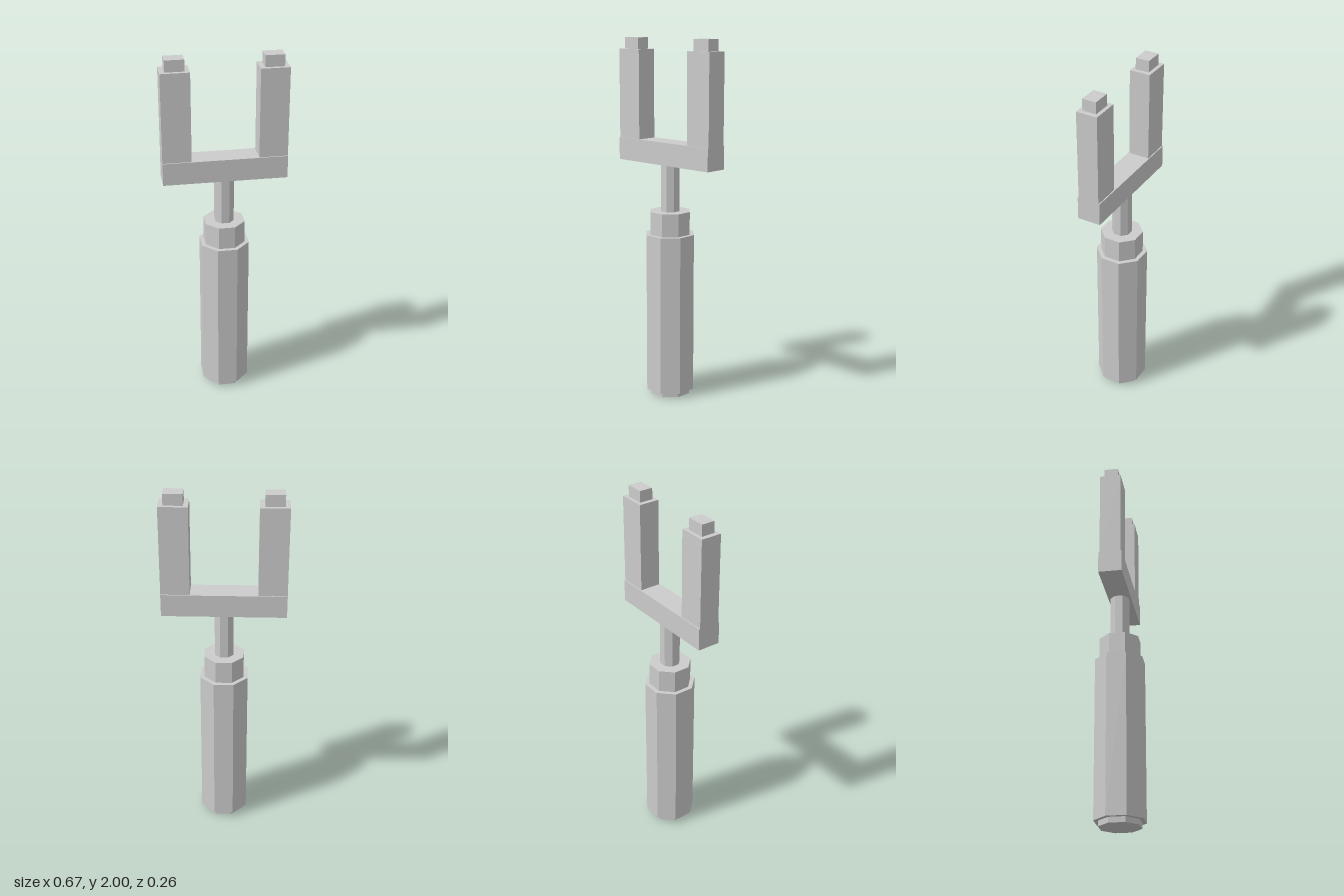
import * as THREE from 'three';

export function createModel() {
  const model = new THREE.Group();
  model.name = 'forkedTool';

  const grey = new THREE.MeshStandardMaterial({ color: 0xcccccc, flatShading: true });
  grey.name = 'light grey';

  const add = (name, geometry, x, y) => {
    const mesh = new THREE.Mesh(geometry, grey);
    mesh.name = name;
    mesh.position.set(x, y, 0);
    model.add(mesh);
  };

  // Octagonal prism with flats facing the axes; half is the distance to a flat
  const octagon = (name, half, y0, y1) => {
    const r = half / Math.cos(Math.PI / 8);
    const geometry = new THREE.CylinderGeometry(r, r, y1 - y0, 8).rotateY(Math.PI / 8);
    add(name, geometry, 0, (y0 + y1) / 2);
  };

  const box = (name, x0, x1, y0, y1, depth) =>
    add(name, new THREE.BoxGeometry(x1 - x0, y1 - y0, depth), (x0 + x1) / 2, (y0 + y1) / 2);

  // Handle and shaft
  octagon('buttCap', 0.108, 0, 0.03);
  octagon('grip', 0.131, 0.03, 0.932);
  octagon('collar', 0.108, 0.932, 1.06);
  octagon('shaft', 0.051, 1.06, 1.32);

  // Fork head
  box('crossbar', -0.336, 0.336, 1.32, 1.445, 0.129);
  for (const [side, s] of [['left', 1], ['right', -1]]) {
    const span = (a, b) => (s > 0 ? [a, b] : [-b, -a]);
    box(side + 'Prong', ...span(0.181, 0.336), 1.445, 1.937, 0.117);
    box(side + 'ProngTip', ...span(0.207, 0.31), 1.937, 2, 0.077);
  }

  return model;
}
